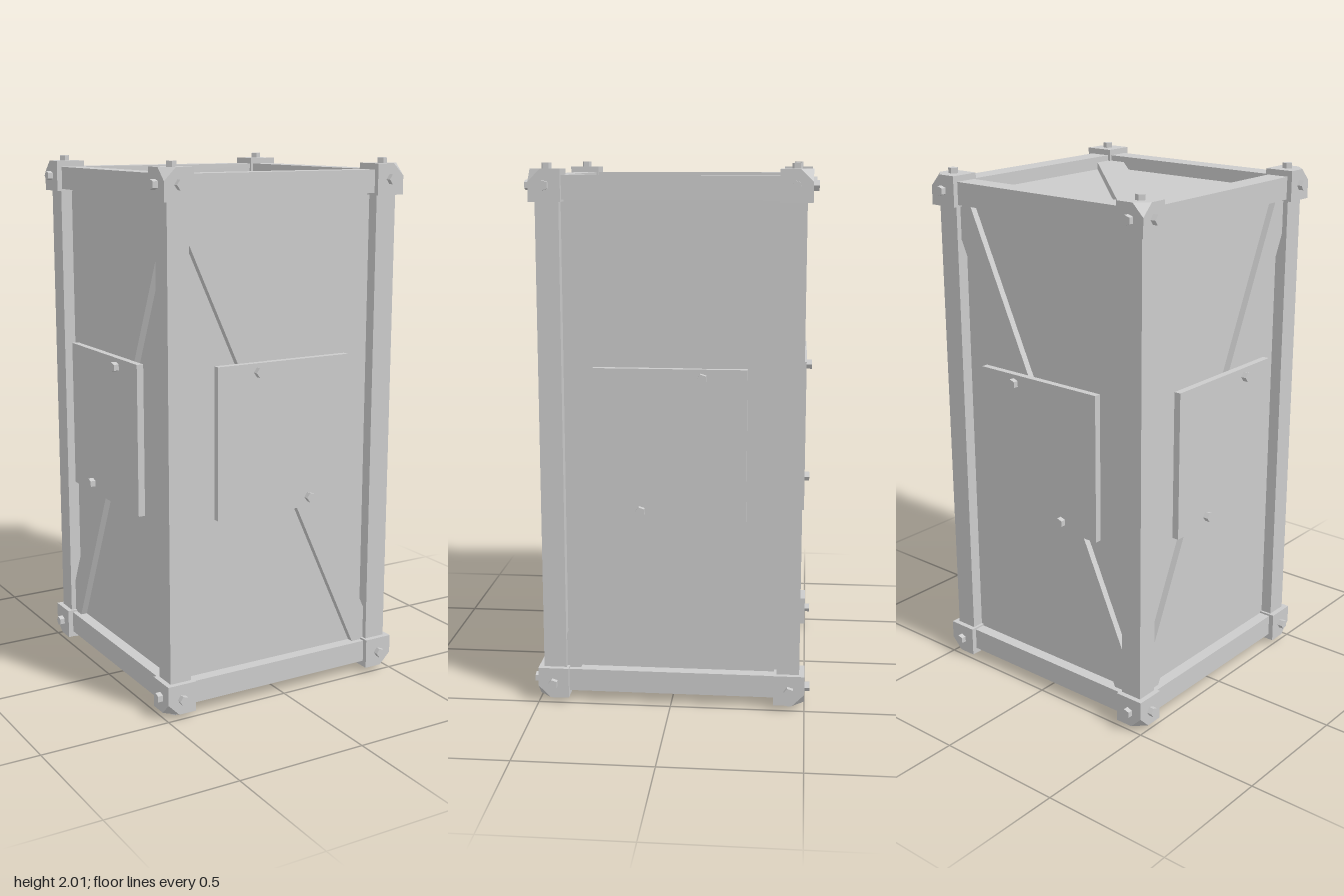
import * as THREE from 'three';
import { ConvexGeometry } from 'three/addons/geometries/ConvexGeometry.js';

const material = new THREE.MeshStandardMaterial({ color: 0xcccccc, flatShading: true });

const OUT = 0.48, IN = 0.395;            // beam section
const MID = (OUT + IN) / 2, BEAM = OUT - IN;
const CENTER = 1.0025, HALF_H = 0.96;    // frame centre height and half height
const BEAM_Y = HALF_H - BEAM / 2;

function add(parent, name, geometry, x = 0, y = 0, z = 0) {
  const mesh = new THREE.Mesh(geometry, material);
  mesh.name = name;
  mesh.position.set(x, y, z);
  parent.add(mesh);
  return mesh;
}

const box = (w, h, d) => new THREE.BoxGeometry(w, h, d);

// Five-sided bolt along +z, base sunk slightly below z = 0
const boltGeometry = new THREE.CylinderGeometry(0.019, 0.019, 0.03, 5)
  .rotateX(Math.PI / 2).rotateZ(-Math.PI / 2).translate(0, 0, 0.005);

// Cube with its outermost corner cut off, towards (sx, sy, sz)
function bracketGeometry(sx, sy, sz) {
  const h = 0.0575, c = 0.045, points = [];
  for (const x of [-h, h]) for (const y of [-h, h]) for (const z of [-h, h]) {
    if (x > 0 && y > 0 && z > 0) {
      points.push([h - c, h, h], [h, h - c, h], [h, h, h - c]);
    } else points.push([x, y, z]);
  }
  return new ConvexGeometry(points.map(([x, y, z]) => new THREE.Vector3(x * sx, y * sy, z * sz)));
}

// Corner bracket with a bolt on each of its three outer faces
function corner(sx, sy, sz) {
  const group = new THREE.Group();
  group.name = 'cornerBracket';
  group.position.set(0.4425 * sx, CENTER + 0.925 * sy, 0.4425 * sz);
  add(group, 'bracket', bracketGeometry(sx, sy, sz));
  const h = 0.0575;
  add(group, 'bracketBolt', boltGeometry, h * sx, 0, 0).rotation.y = sx * Math.PI / 2;
  add(group, 'bracketBolt', boltGeometry, 0, h * sy, 0).rotation.x = -sy * Math.PI / 2;
  add(group, 'bracketBolt', boltGeometry, 0, 0, h * sz).rotation.y = sz > 0 ? 0 : Math.PI;
  return group;
}

// Side wall fittings facing +z: diagonal brace, cover plate and two bolts
function side(lean, plateFront, plateY) {
  const group = new THREE.Group();
  group.name = 'side';
  add(group, 'sideBrace', box(0.102, 2.02, 0.04), 0, CENTER, 0.44)
    .rotation.z = lean * Math.atan2(0.42, 0.92);
  add(group, 'coverPlate', box(0.56, 0.565, 0.026), -0.003, plateY, plateFront - 0.013);
  add(group, 'plateBolt', boltGeometry, -0.115 * lean, plateY + 0.25, plateFront);
  add(group, 'plateBolt', boltGeometry, 0.11 * lean, plateY - 0.245, plateFront);
  return group;
}

export function createModel() {
  const model = new THREE.Group();
  model.name = 'crate';

  // Recessed walls
  add(model, 'body', box(0.87, 1.82, 0.87), 0, CENTER, 0);

  // Frame beams and corner brackets
  for (const a of [-1, 1]) for (const b of [-1, 1]) {
    add(model, 'post', box(BEAM, 1.82, BEAM), a * MID, CENTER, b * MID);
    add(model, 'crossBeam', box(0.84, BEAM, BEAM), 0, CENTER + a * BEAM_Y, b * MID);
    add(model, 'sideBeam', box(BEAM, BEAM, 0.84), b * MID, CENTER + a * BEAM_Y, 0);
    for (const c of [-1, 1]) model.add(corner(a, b, c));
  }

  // Four sides, leaning alternately: [plate front, plate height]
  const plates = [[0.484, 1.007], [0.481, 0.997], [0.487, 0.999], [0.498, 1.003]];
  plates.forEach(([front, y], i) => {
    const wall = side(i % 2 ? -1 : 1, front, y);
    wall.rotation.y = i * Math.PI / 2;
    model.add(wall);
  });

  // Diagonal braces on the lid and the base
  for (const s of [-1, 1]) {
    add(model, s > 0 ? 'lidBrace' : 'baseBrace', box(1.19, 0.04, 0.108), 0, CENTER + s * 0.918, 0)
      .rotation.y = -s * Math.PI / 4;
  }
  return model;
}
